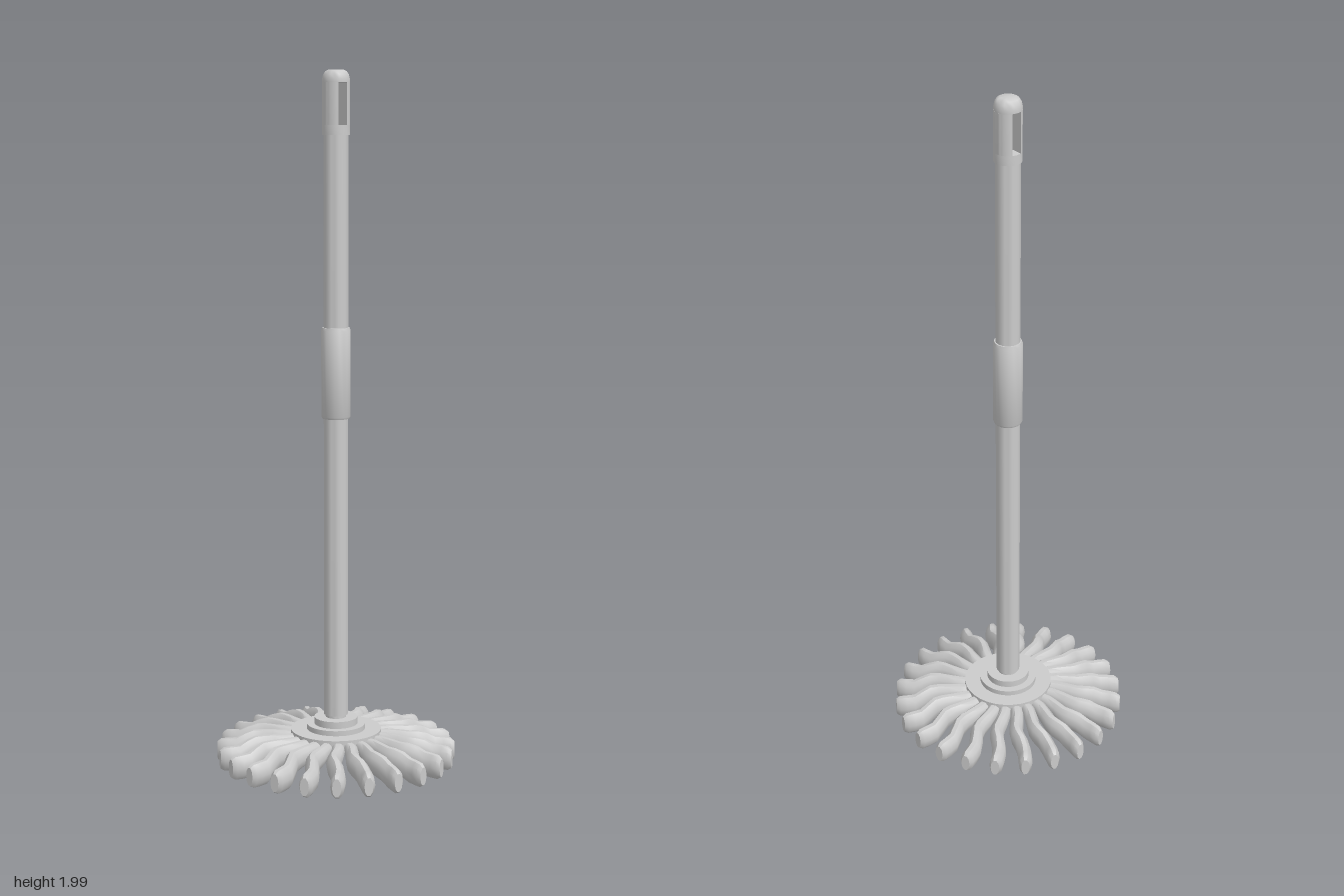
import * as THREE from 'three';
import { toCreasedNormals } from 'three/addons/utils/BufferGeometryUtils.js';

const grey = new THREE.MeshStandardMaterial({ color: 0xcccccc });

function add(parent, name, geometry) {
  const mesh = new THREE.Mesh(toCreasedNormals(geometry, 0.7), grey);
  mesh.name = name;
  parent.add(mesh);
  return mesh;
}

// Turned part from [radius, y] points, listed from bottom to top
const turned = (points, sides = 20) =>
  new THREE.LatheGeometry(points.map(([r, y]) => new THREE.Vector2(r, y)), sides);

// Wavy strand: each station is [radius, sideways, height, halfWidth, halfHeight]
function strandGeometry() {
  const stations = [
    [0.115, -0.004, 0.08, 0.018, 0.019],
    [0.15, -0.003, 0.078, 0.02, 0.022],
    [0.185, 0.004, 0.071, 0.021, 0.028],
    [0.215, 0.011, 0.066, 0.021, 0.032],
    [0.24, 0.01, 0.063, 0.021, 0.035],
    [0.265, 0.002, 0.055, 0.021, 0.036],
    [0.29, -0.002, 0.042, 0.021, 0.036],
    [0.315, 0, 0.04, 0.021, 0.036],
    [0.335, 0.003, 0.039, 0.02, 0.035],
    [0.346, 0.005, 0.038, 0.013, 0.027],
  ];
  const n = stations.length - 1;
  const geo = new THREE.CylinderGeometry(1, 1, 1, 10, n);
  const pos = geo.attributes.position;
  for (let i = 0; i < pos.count; i++) {
    const [r, side, y, w, h] = stations[Math.round((pos.getY(i) + 0.5) * n)];
    pos.setXYZ(i, r, y - h * pos.getX(i), side + w * pos.getZ(i));
  }
  geo.computeVertexNormals();
  return geo;
}

export function createModel() {
  const model = new THREE.Group();
  model.name = 'mop';

  // Mop head: ring of strands under a stepped hub
  const strands = new THREE.Group();
  strands.name = 'strands';
  model.add(strands);
  const strand = strandGeometry();
  const count = 24;
  for (let i = 0; i < count; i++) {
    add(strands, 'strand', strand).rotation.y = (i / count) * Math.PI * 2;
  }
  add(model, 'hub', turned([
    [0, 0.075], [0.132, 0.075], [0.132, 0.105], [0.085, 0.105], [0.085, 0.12],
    [0.063, 0.12], [0.063, 0.14], [0.03, 0.14], [0.03, 0.152],
  ], 32));

  // Pole with a joining sleeve
  add(model, 'pole', turned([[0, 0.148], [0.035, 0.148], [0.035, 1.83], [0, 1.83]]));
  add(model, 'sleeve', turned([
    [0.035, 1.02], [0.039, 1.02], [0.042, 1.026], [0.042, 1.272], [0.039, 1.28], [0.035, 1.28],
  ]));

  // Hanging cap: solid ends joined by two cheeks that leave a slot through z
  const R = 0.039, slot = 0.014, low = 1.848, high = 1.965;
  const cap = new THREE.Group();
  cap.name = 'hangingCap';
  model.add(cap);
  add(cap, 'capBase', turned([[0, 1.82], [R, 1.82], [R, low], [0, low]]));
  add(cap, 'capTop', turned([
    [0, high], [R, high], [R, 1.974], [0.036, 1.987], [0.03, 1.996], [0.022, 2], [0, 2],
  ]));
  const a = Math.acos(slot / R);
  const cheekShape = new THREE.Shape();
  cheekShape.absarc(0, 0, R, -a, a);
  cheekShape.closePath();
  const cheek = new THREE.ExtrudeGeometry(cheekShape, {
    depth: high - low, bevelEnabled: false, curveSegments: 8,
  }).rotateX(-Math.PI / 2).translate(0, low, 0);
  add(cap, 'leftCheek', cheek);
  add(cap, 'rightCheek', cheek).rotation.y = Math.PI;

  return model;
}
